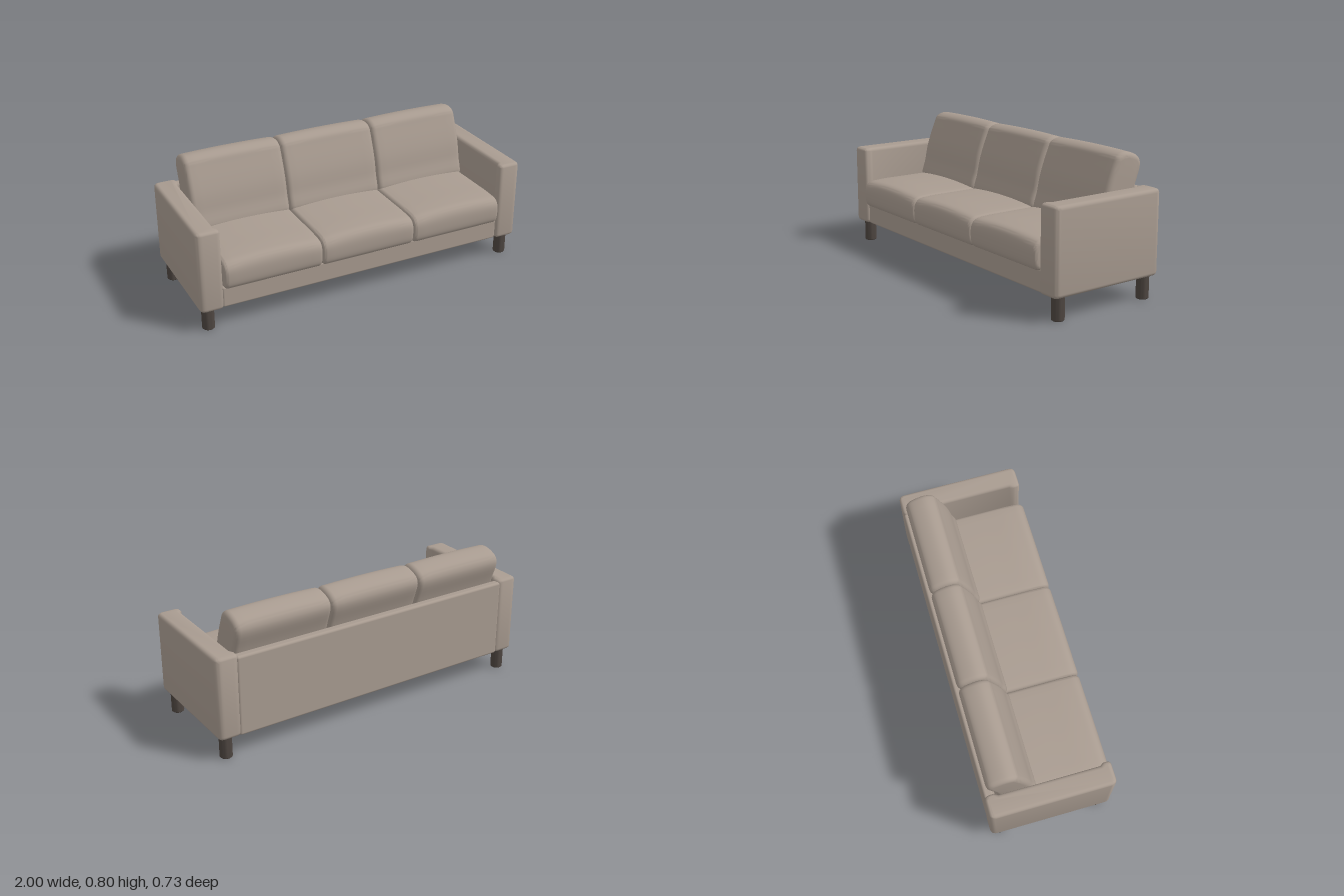
import * as THREE from 'three';
import { toCreasedNormals } from 'three/addons/utils/BufferGeometryUtils.js';
import { RoundedBoxGeometry } from 'three/addons/geometries/RoundedBoxGeometry.js';

const fabric = new THREE.MeshStandardMaterial({ color: 0xa89b90 });
fabric.name = 'taupe fabric';
const legWood = new THREE.MeshStandardMaterial({ color: 0x4d4540 });
legWood.name = 'dark wood';

// Extrusion of given total length, centred, with edges rounded inside the outline
function softExtrude(shape, length, bevel, steps = 1) {
  const geo = new THREE.ExtrudeGeometry(shape, {
    depth: length - 2 * bevel, steps, curveSegments: 6,
    bevelSize: bevel, bevelThickness: bevel, bevelOffset: -bevel, bevelSegments: 5,
  });
  return geo.translate(0, 0, bevel - length / 2);
}

// Cushion from a side profile of [z, y] points; the part above domeFrom swells mid-width
function cushionGeometry(profile, width, bevel, dome, domeFrom) {
  const points = profile.map(([z, y]) => new THREE.Vector2(z, y));
  const outline = new THREE.CatmullRomCurve3(
    points.map((p) => new THREE.Vector3(p.x, p.y, 0)), true, 'centripetal');
  const shape = new THREE.Shape(
    outline.getPoints(60).slice(0, -1).map((p) => new THREE.Vector2(p.x, p.y)));
  const geo = softExtrude(shape, width, bevel, 12).rotateY(-Math.PI / 2);
  const pos = geo.attributes.position;
  for (let i = 0; i < pos.count; i++) {
    const u = pos.getX(i) / (width / 2);
    const lift = THREE.MathUtils.smoothstep(pos.getY(i), domeFrom, domeFrom + 0.08);
    pos.setY(i, pos.getY(i) + dome * (1 - u * u) * lift);
  }
  return toCreasedNormals(geo, 0.8);
}

// Arm extruded upward from its plan: slightly thicker at the front and back ends
function armGeometry(side) {
  const outer = 1, end = 0.866, inner = 0.88, front = 0.346, back = -0.364, r = 0.035;
  const s = new THREE.Shape();
  const X = (x) => x * side;
  s.moveTo(X(outer - r), -front);
  s.quadraticCurveTo(X(outer), -front, X(outer), -front + r);
  s.lineTo(X(outer), -back - r);
  s.quadraticCurveTo(X(outer), -back, X(outer - r), -back);
  s.lineTo(X(end + r), -back);
  s.quadraticCurveTo(X(end), -back, X(end), -back - r);
  s.lineTo(X(end), 0.31);
  s.lineTo(X(inner), 0.285);
  s.lineTo(X(inner), -0.285);
  s.lineTo(X(end), -0.305);
  s.lineTo(X(end), -front + 0.025);
  s.quadraticCurveTo(X(end), -front, X(end + 0.025), -front);
  s.closePath();
  const geo = softExtrude(s, 0.475, 0.022).rotateX(-Math.PI / 2);
  return toCreasedNormals(geo.translate(0, 0.3675, 0), 0.8);
}

export function createModel() {
  const sofa = new THREE.Group();
  sofa.name = 'sofa';
  const add = (name, geo, material, x = 0, y = 0, z = 0) => {
    const mesh = new THREE.Mesh(geo, material);
    mesh.name = name;
    mesh.position.set(x, y, z);
    sofa.add(mesh);
  };

  // Frame
  add('base', new RoundedBoxGeometry(1.738, 0.125, 0.69, 3, 0.012), fabric, 0, 0.1925, -0.015);
  add('backPanel', new RoundedBoxGeometry(1.76, 0.462, 0.052, 4, 0.014), fabric, 0, 0.361, -0.336);
  add('leftArm', armGeometry(1), fabric);
  add('rightArm', armGeometry(-1), fabric);

  // Cushions
  const seat = cushionGeometry([
    [0.335, 0.247], [0.357, 0.265], [0.366, 0.32], [0.36, 0.37], [0.335, 0.398], [0.27, 0.408],
    [0.1, 0.41], [-0.1, 0.41], [-0.26, 0.408], [-0.285, 0.38], [-0.285, 0.28], [-0.26, 0.247],
  ], 0.572, 0.022, 0.014, 0.32);
  const back = cushionGeometry([
    [-0.065, 0.39], [-0.085, 0.5], [-0.108, 0.6], [-0.16, 0.735], [-0.18, 0.772], [-0.225, 0.79],
    [-0.285, 0.78], [-0.33, 0.755], [-0.345, 0.715], [-0.31, 0.6], [-0.285, 0.5], [-0.27, 0.39],
  ], 0.58, 0.03, 0.006, 0.7);
  ['right', 'middle', 'left'].forEach((name, i) => {
    add(`${name}SeatCushion`, seat, fabric, (i - 1) * 0.574);
    add(`${name}BackCushion`, back, fabric, (i - 1) * 0.58);
  });

  // Round legs with eased lower edge
  const leg = new THREE.LatheGeometry([
    [0, 0], [0.03, 0], [0.035, 0.005], [0.035, 0.14],
  ].map(([x, y]) => new THREE.Vector2(x, y)), 28);
  const legGeo = toCreasedNormals(leg, 0.6);
  for (const x of [-0.942, 0.942]) {
    add('frontLeg', legGeo, legWood, x, 0, 0.28);
    add('backLeg', legGeo, legWood, x, 0, -0.305);
  }
  return sofa;
}
